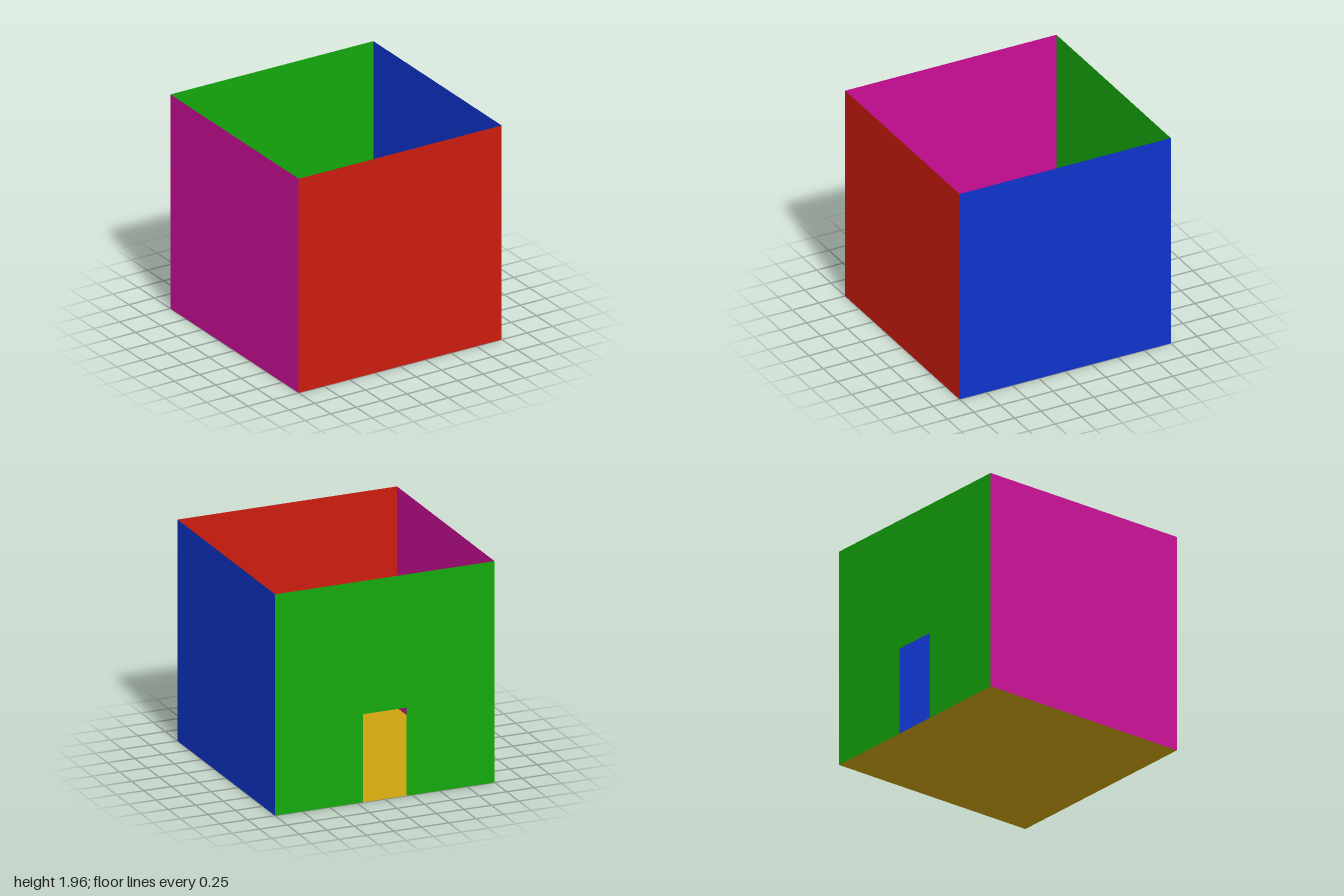
import * as THREE from 'three';

const SIDE = 2, HEIGHT = 1.96;
const DOOR_WIDTH = 0.4, DOOR_HEIGHT = 0.78;

// Thin flat panel, visible from both sides
function panel(name, geometry, color) {
  const material = new THREE.MeshStandardMaterial({ color, side: THREE.DoubleSide });
  const mesh = new THREE.Mesh(geometry, material);
  mesh.name = name;
  return mesh;
}

// Wall outline standing on y = 0, with an optional doorway cut from its base
function wallGeometry(hasDoor) {
  const w = SIDE / 2, d = DOOR_WIDTH / 2;
  const shape = new THREE.Shape();
  shape.moveTo(-w, 0);
  if (hasDoor) {
    shape.lineTo(-d, 0);
    shape.lineTo(-d, DOOR_HEIGHT);
    shape.lineTo(d, DOOR_HEIGHT);
    shape.lineTo(d, 0);
  }
  shape.lineTo(w, 0);
  shape.lineTo(w, HEIGHT);
  shape.lineTo(-w, HEIGHT);
  shape.closePath();
  return new THREE.ShapeGeometry(shape);
}

export function createModel() {
  const room = new THREE.Group();
  room.name = 'openRoom';

  // Floor
  const floor = panel('floor', new THREE.PlaneGeometry(SIDE, SIDE), 0xcca20e);
  floor.rotation.x = -Math.PI / 2;
  room.add(floor);

  // Four walls, each turned outward around the floor
  const walls = [
    ['frontWall', 0xcc1c0e, false],
    ['leftWall', 0xcc0e98, false],
    ['backWall', 0x14a80c, true],
    ['rightWall', 0x0e34cc, false],
  ];
  // The magenta wall is on +x or -x according to its quarter turn
  const turns = { frontWall: 0, leftWall: -1, backWall: 2, rightWall: 1 };
  for (const [name, color, hasDoor] of walls) {
    const wall = panel(name, wallGeometry(hasDoor), color);
    const angle = turns[name] * Math.PI / 2;
    wall.rotation.y = angle;
    wall.position.set(Math.sin(angle) * SIDE / 2, 0, Math.cos(angle) * SIDE / 2);
    room.add(wall);
  }
  return room;
}
